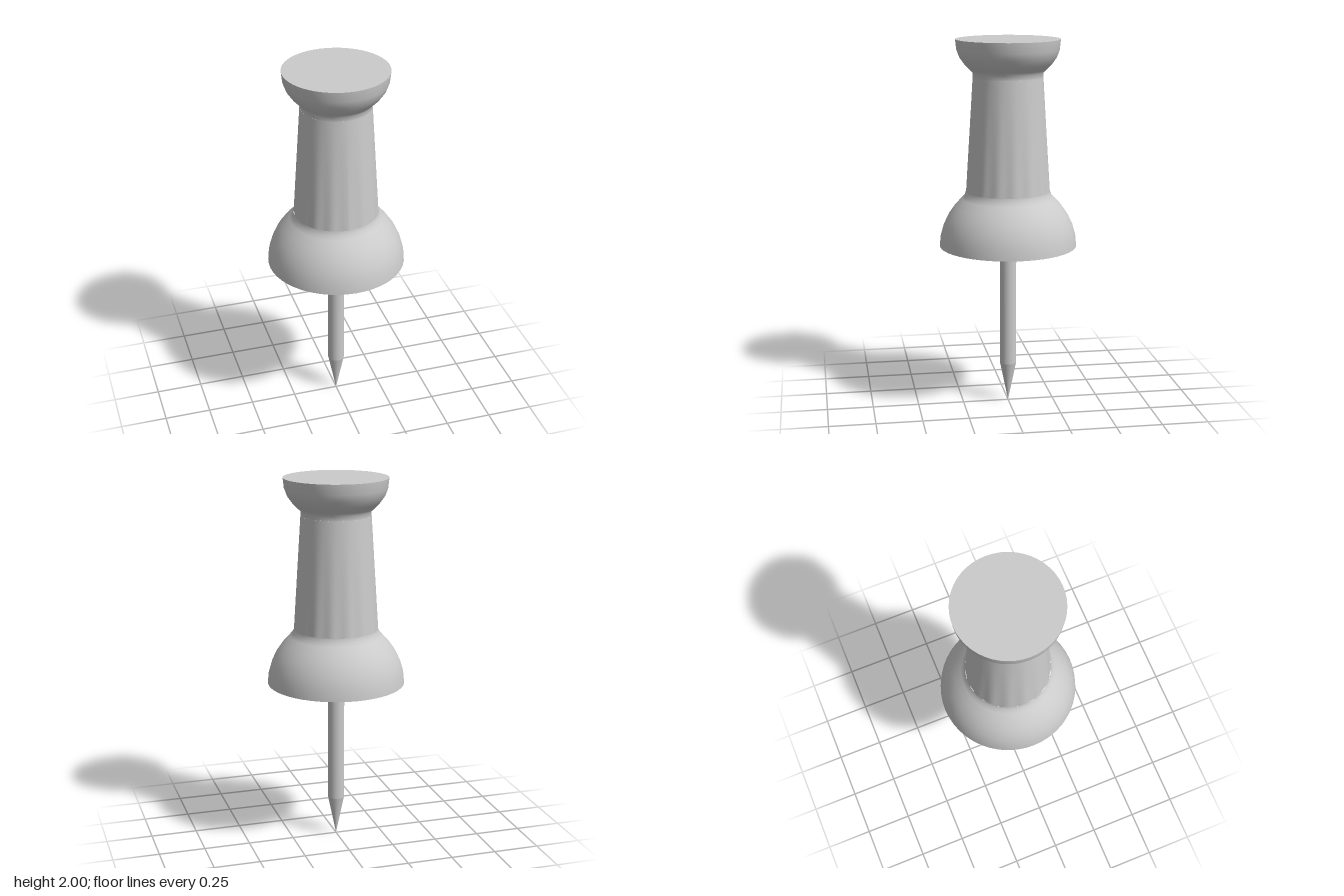
import * as THREE from 'three';

const SEGMENTS = 48;
const FLUTES = 16;

export function createModel() {
  const group = new THREE.Group();
  group.name = 'pushPin';
  const material = new THREE.MeshStandardMaterial({ color: 0xcccccc });

  const add = (name, geometry, parent = group) => {
    const mesh = new THREE.Mesh(geometry, material);
    mesh.name = name;
    parent.add(mesh);
    return mesh;
  };
  // Profiles are [radius, height] pairs running upwards
  const lathe = (profile, segments = SEGMENTS) =>
    new THREE.LatheGeometry(profile.map(([r, y]) => new THREE.Vector2(r, y)), segments);
  const disc = (radius, y, up) => new THREE.CircleGeometry(radius, SEGMENTS)
    .rotateX(up ? -Math.PI / 2 : Math.PI / 2).translate(0, y, 0);

  // Steel needle: straight shank and conical point
  const needle = new THREE.Group();
  needle.name = 'needle';
  group.add(needle);
  add('shank', lathe([[0.045, 0.22], [0.045, 0.9]], 24), needle);
  add('point', lathe([[0, 0], [0.045, 0.22]], 24), needle);

  // Domed foot with a flat underside
  add('footDome', lathe([
    [0.37, 0.89], [0.365, 0.945], [0.348, 1.005], [0.322, 1.06],
    [0.287, 1.11], [0.25, 1.15], [0.233, 1.168], [0.228, 1.19],
  ]));
  add('footUnderside', disc(0.37, 0.89, false));

  // Tapered grip with shallow flutes that fade out towards the top
  const bottom = 1.18, top = 1.8;
  const grip = new THREE.CylinderGeometry(0.187, 0.228, top - bottom, FLUTES * 6, 10, true)
    .translate(0, (bottom + top) / 2, 0);
  const pos = grip.attributes.position;
  for (let i = 0; i < pos.count; i++) {
    const x = pos.getX(i), z = pos.getZ(i);
    const fade = 1 - (pos.getY(i) - bottom) / (top - bottom);
    const scale = 1 - 0.022 * fade * (0.5 - 0.5 * Math.cos(FLUTES * Math.atan2(x, z)));
    pos.setXYZ(i, x * scale, pos.getY(i), z * scale);
  }
  grip.computeVertexNormals();
  add('grip', grip);

  // Flared head with a flat top
  add('headFlare', lathe([
    [0.187, 1.8], [0.187, 1.825], [0.203, 1.84], [0.232, 1.87],
    [0.257, 1.905], [0.272, 1.945], [0.278, 2],
  ]));
  add('headTop', disc(0.278, 2, true));

  return group;
}
